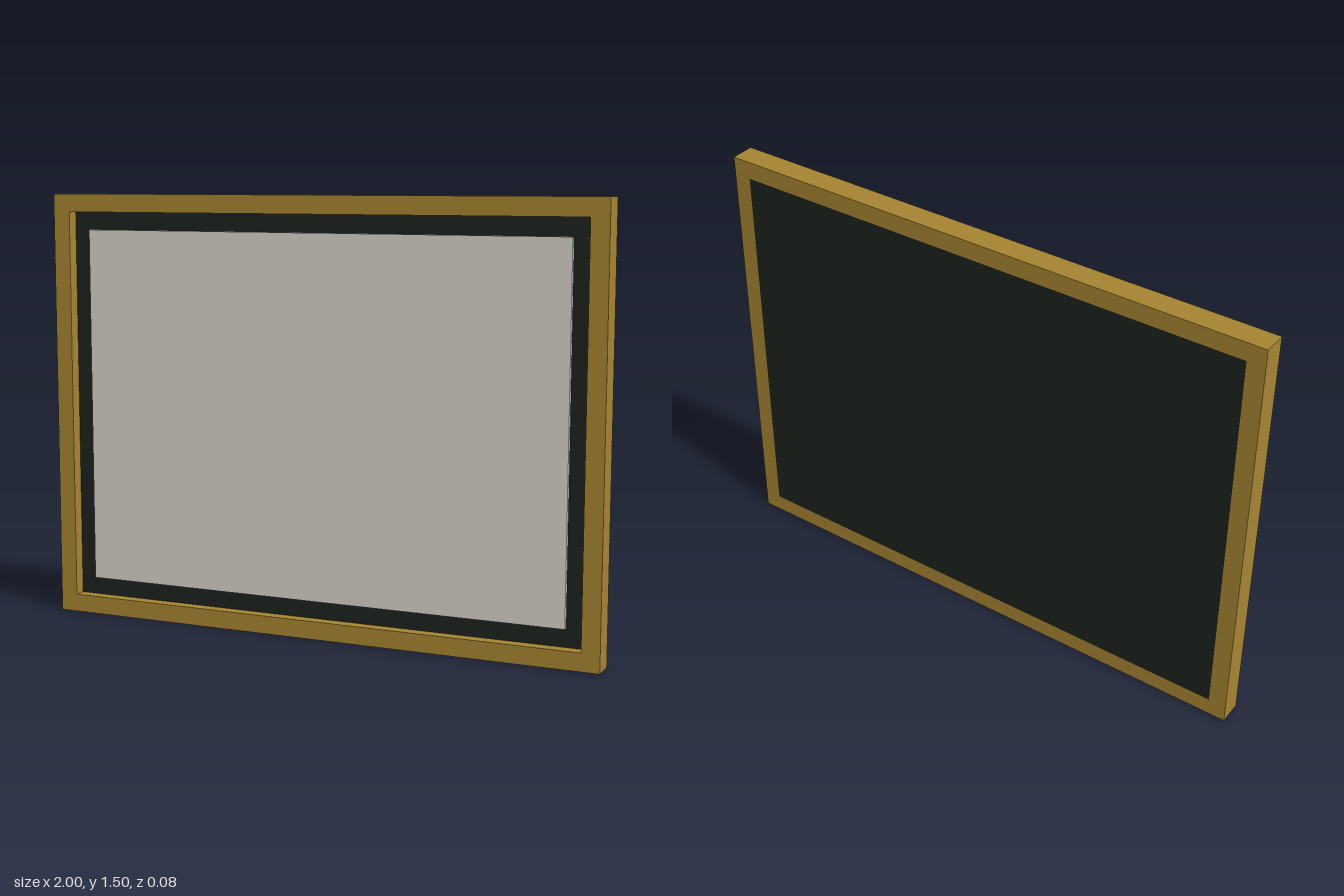
import * as THREE from 'three';

const W = 2, H = 1.5, D = 0.084; // outer size of the frame
const RIM = 0.0625;              // frame width, and also the mat border

function rectangle(PathType, w, h) {
  const x = w / 2, y = h / 2;
  return new PathType([[-x, -y], [x, -y], [x, y], [-x, y]].map(([a, b]) => new THREE.Vector2(a, b)));
}

export function createModel() {
  const model = new THREE.Group();
  model.name = 'framedPicture';

  const add = (name, geometry, color, z) => {
    const mesh = new THREE.Mesh(geometry, new THREE.MeshStandardMaterial({ color }));
    mesh.name = name;
    mesh.position.set(0, H / 2, z);
    model.add(mesh);
  };

  // Frame: one rectangular ring
  const ring = rectangle(THREE.Shape, W, H);
  ring.holes.push(rectangle(THREE.Path, W - 2 * RIM, H - 2 * RIM));
  add('frame', new THREE.ExtrudeGeometry(ring, { depth: D, bevelEnabled: false }), 0xa58432, -D / 2);

  // Backing board: flush with the back, recessed at the front
  const boardDepth = D / 2;
  add('backingBoard', new THREE.BoxGeometry(W - 2 * RIM, H - 2 * RIM, boardDepth), 0x1c231d, -D / 2 + boardDepth / 2);

  // Picture panel: thin sheet raised on the board
  const panelDepth = 0.014;
  add('picturePanel', new THREE.BoxGeometry(W - 4 * RIM, H - 4 * RIM, panelDepth), 0xd5d0c8, panelDepth / 2);

  return model;
}
